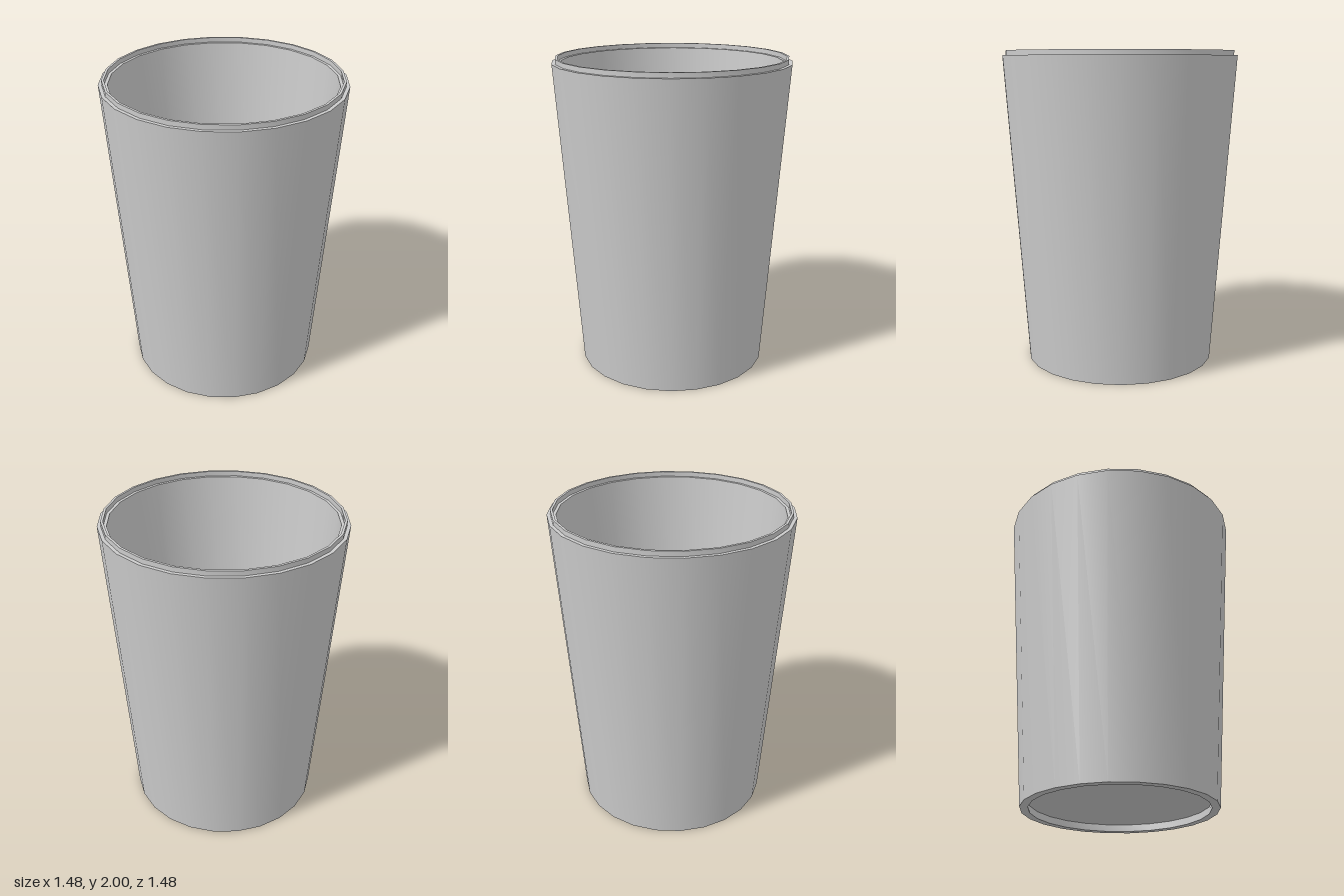
import * as THREE from 'three';
import { toCreasedNormals } from 'three/addons/utils/BufferGeometryUtils.js';

const SIDES = 24;

// Revolve a profile of [radius, height] points, keeping its corners sharp
function revolve(name, profile, material) {
  const points = profile.map(([r, y]) => new THREE.Vector2(r, y));
  const lathe = new THREE.LatheGeometry(points, SIDES, Math.PI / SIDES, Math.PI * 2);
  const mesh = new THREE.Mesh(toCreasedNormals(lathe, Math.PI / 5), material);
  mesh.name = name;
  return mesh;
}

export function createModel() {
  const material = new THREE.MeshStandardMaterial({ color: 0xcccccc });
  const cup = new THREE.Group();
  cup.name = 'cup';

  // Recessed underside and foot ring
  cup.add(revolve('base', [[0, 0.045], [0.56, 0.045], [0.557, 0], [0.608, 0]], material));

  // Tapered outside wall
  cup.add(revolve('outerWall', [[0.608, 0], [0.748, 1.97]], material));

  // Narrow raised lip with a small step on either side
  cup.add(revolve('rim', [
    [0.748, 1.97], [0.726, 1.97], [0.726, 2], [0.711, 2], [0.711, 1.97], [0.692, 1.97],
  ], material));

  // Inside wall and floor
  cup.add(revolve('innerWall', [[0.692, 1.97], [0.56, 0.1]], material));
  cup.add(revolve('floor', [[0.56, 0.1], [0, 0.1]], material));

  return cup;
}
